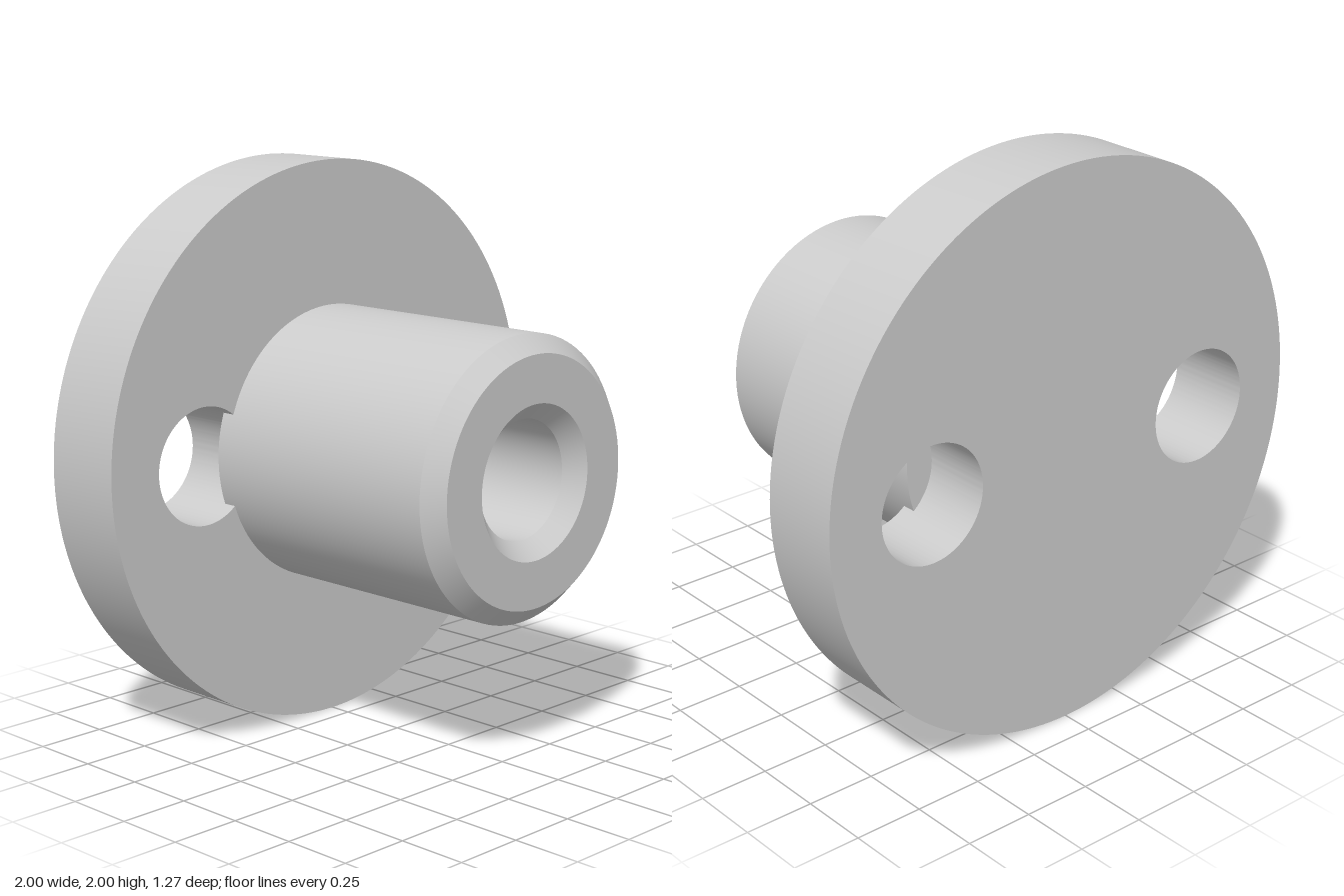
import * as THREE from 'three';
import { toCreasedNormals } from 'three/addons/utils/BufferGeometryUtils.js';

const CREASE = Math.PI / 7;

export function createModel() {
  const model = new THREE.Group();
  const material = new THREE.MeshStandardMaterial({ color: 0xcccccc });

  const addPart = (name, geometry) => {
    const mesh = new THREE.Mesh(toCreasedNormals(geometry, CREASE), material);
    mesh.name = name;
    mesh.position.y = 1;
    model.add(mesh);
  };

  // Round flange with two through holes
  const disc = new THREE.Shape().absarc(0, 0, 1, 0, Math.PI * 2);
  for (const side of [-1, 1]) {
    disc.holes.push(new THREE.Path().absarc(side * 0.592, 0, 0.206, 0, Math.PI * 2, true));
  }
  const flange = new THREE.ExtrudeGeometry(disc, { depth: 0.305, bevelEnabled: false, curveSegments: 96 });
  flange.translate(0, 0, -0.635);
  addPart('flange', flange);

  // Hub: slightly sunk into the flange, chamfered outside and at the blind bore;
  // the flange face forms the floor of the bore
  const profile = [
    [0.3, -0.38], [0.49, -0.38], [0.49, 0.573], [0.43, 0.635],
    [0.265, 0.635], [0.206, 0.573], [0.206, -0.33],
  ].map(([r, z]) => new THREE.Vector2(r, z));
  const hub = new THREE.LatheGeometry(profile, 96);
  hub.rotateX(Math.PI / 2);
  addPart('hub', hub);

  return model;
}
